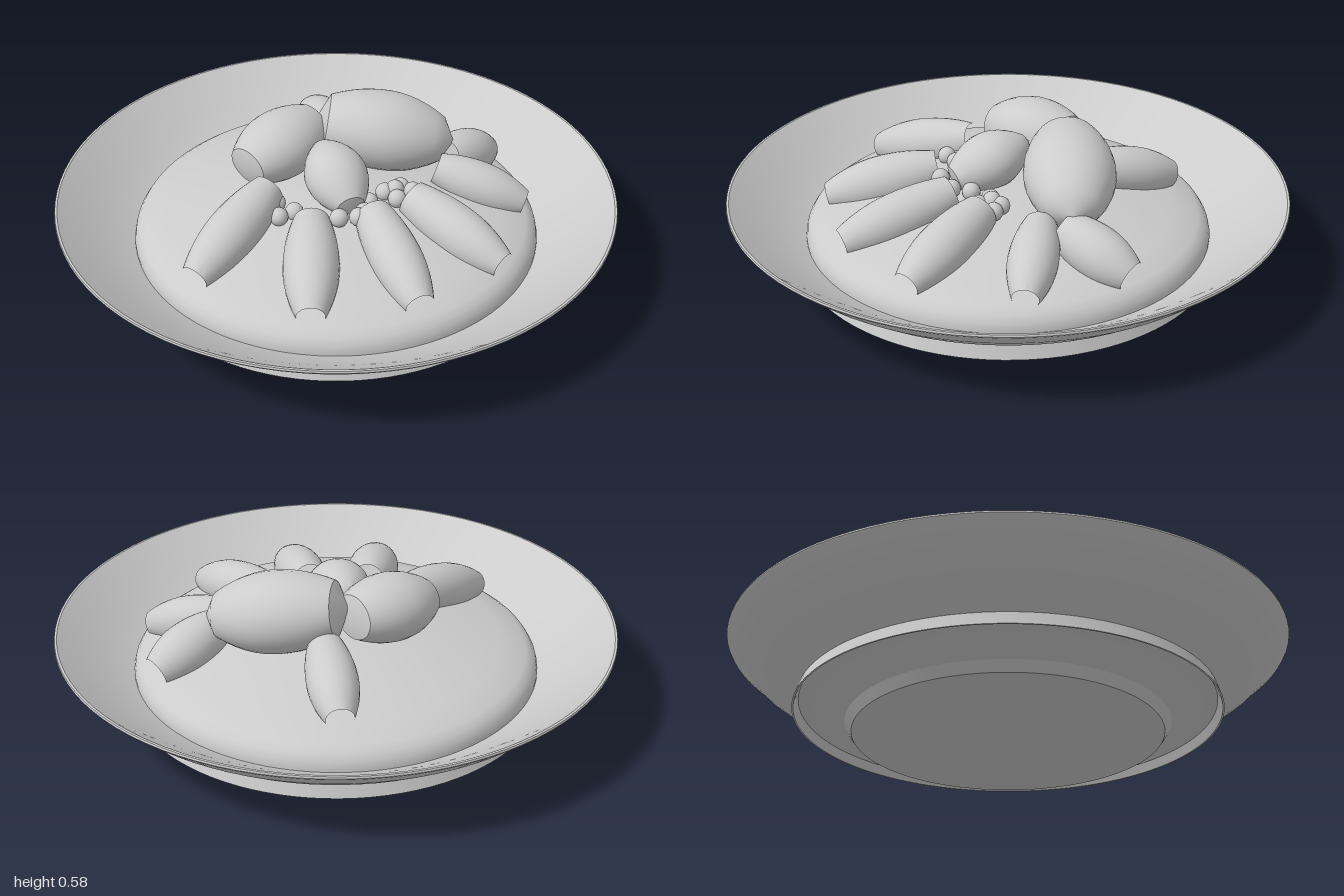
import * as THREE from 'three';
import { toCreasedNormals } from 'three/addons/utils/BufferGeometryUtils.js';

const lightGrey = new THREE.MeshStandardMaterial({ color: 0xcccccc });
lightGrey.name = 'lightGrey';

// Revolve a profile of [radius, height] points, keeping hard edges sharp
function revolve(points, segments, crease) {
  const profile = points.map(([r, y]) => new THREE.Vector2(r, y));
  return toCreasedNormals(new THREE.LatheGeometry(profile, segments), crease);
}

// Barrel-shaped piece from one end point to the other; with a cap value the
// ends are closed and dome out by that much, otherwise they stay open
function barrel(name, from, to, r0, rMid, r1, height = 1, cap = 0) {
  const a = new THREE.Vector3(...from), b = new THREE.Vector3(...to);
  const length = a.distanceTo(b);
  const points = [];
  const steps = 12;
  for (let i = 0; i <= steps; i++) {
    const t = i / steps;
    const bulge = 1 - (2 * t - 1) ** 2;
    const end = t < 0.5 ? r0 : r1;
    points.push([end + (rMid - end) * bulge, (t - 0.5) * length]);
  }
  if (cap > 0) {
    points.unshift([0, -length / 2 - cap]);
    points.push([0, length / 2 + cap]);
  }
  const geometry = revolve(points, 28, 0.6);
  geometry.rotateX(Math.PI / 2);
  const mesh = new THREE.Mesh(geometry, lightGrey);
  mesh.name = name;
  mesh.position.copy(a).lerp(b, 0.5);
  mesh.lookAt(b);
  mesh.scale.y = height;
  return mesh;
}

export function createModel() {
  const model = new THREE.Group();
  model.name = 'servedDish';

  // Plate: shallow base, hollow flared skirt, wide sloping rim and inside
  const plate = new THREE.Mesh(revolve([
    [0, 0.005], [0.5, 0.005], [0.53, 0], [0.55, 0], [0.575, 0.035], [0.65, 0.066],
    [0.738, 0.1], [0.754, 0.068], [0.76, 0.068],
    [0.745, 0.115], [0.83, 0.172], [0.92, 0.24], [0.995, 0.308],
    [1, 0.315], [0.998, 0.322], [0.99, 0.322], [0.92, 0.268],
    [0.83, 0.205], [0.75, 0.158], [0.7, 0.135],
  ], 96, 0.42), lightGrey);
  plate.name = 'plate';
  model.add(plate);

  // Low mound filling the plate, with a steep rounded edge
  const mound = new THREE.Mesh(revolve([
    [0.73, 0.135], [0.73, 0.16], [0.724, 0.182], [0.71, 0.204], [0.685, 0.222],
    [0.6, 0.248], [0.45, 0.285], [0.25, 0.322], [0.1, 0.338], [0, 0.342],
  ], 72, 0.9), lightGrey);
  mound.name = 'mound';
  model.add(mound);

  // Ring of long slices: inner end, outer end, inner, middle and outer radius
  const ring = new THREE.Group();
  ring.name = 'sliceRing';
  const slices = [
    [[0.045, 0.345, 0.24], [0.05, 0.245, 0.65], 0.065, 0.09, 0.05],
    [[-0.165, 0.345, 0.2], [-0.305, 0.245, 0.58], 0.062, 0.096, 0.048],
    [[-0.26, 0.38, 0.02], [-0.605, 0.255, 0.262], 0.06, 0.092, 0.05],
    [[0.21, 0.345, 0.2], [0.4, 0.245, 0.55], 0.065, 0.092, 0.048],
    [[0.37, 0.345, 0.05], [0.64, 0.245, 0.235], 0.055, 0.085, 0.045],
    [[0.43, 0.34, -0.01], [0.665, 0.25, -0.135], 0.065, 0.093, 0.055],
    [[0.1, 0.365, -0.28], [0.122, 0.28, -0.61], 0.062, 0.088, 0.048],
  ];
  slices.forEach((s) => ring.add(barrel('slice', ...s)));
  model.add(ring);

  // Three large pieces heaped in the middle
  model.add(
    barrel('leftChunk', [-0.3, 0.415, -0.095], [-0.005, 0.445, -0.245], 0.08, 0.138, 0.09, 0.86, 0.02),
    barrel('rightChunk', [0.045, 0.465, -0.21], [0.43, 0.4, -0.04], 0.11, 0.162, 0.09, 0.88, 0.045),
    barrel('centreChunk', [-0.02, 0.365, 0.2], [-0.025, 0.45, -0.08], 0.05, 0.112, 0.035, 0.9, 0.012),
  );

  // Small berries in three clusters between the slices
  const berries = new THREE.Group();
  berries.name = 'berries';
  const berryGeometry = new THREE.SphereGeometry(0.033, 16, 12);
  const spots = [
    [-0.28, 0.345, 0.005], [-0.245, 0.345, 0.06], [-0.26, 0.335, 0.13],
    [-0.2, 0.335, 0.12], [-0.27, 0.335, 0.08],
    [-0.075, 0.35, 0.23], [-0.01, 0.35, 0.248], [0.02, 0.35, 0.228], [0.06, 0.345, 0.17],
    [0.135, 0.345, 0.13], [0.16, 0.345, 0.185], [0.2, 0.345, 0.12],
    [0.23, 0.345, 0.16], [0.17, 0.355, 0.14],
  ];
  spots.forEach((p) => {
    const berry = new THREE.Mesh(berryGeometry, lightGrey);
    berry.name = 'berry';
    berry.position.set(...p);
    berries.add(berry);
  });
  model.add(berries);

  return model;
}
